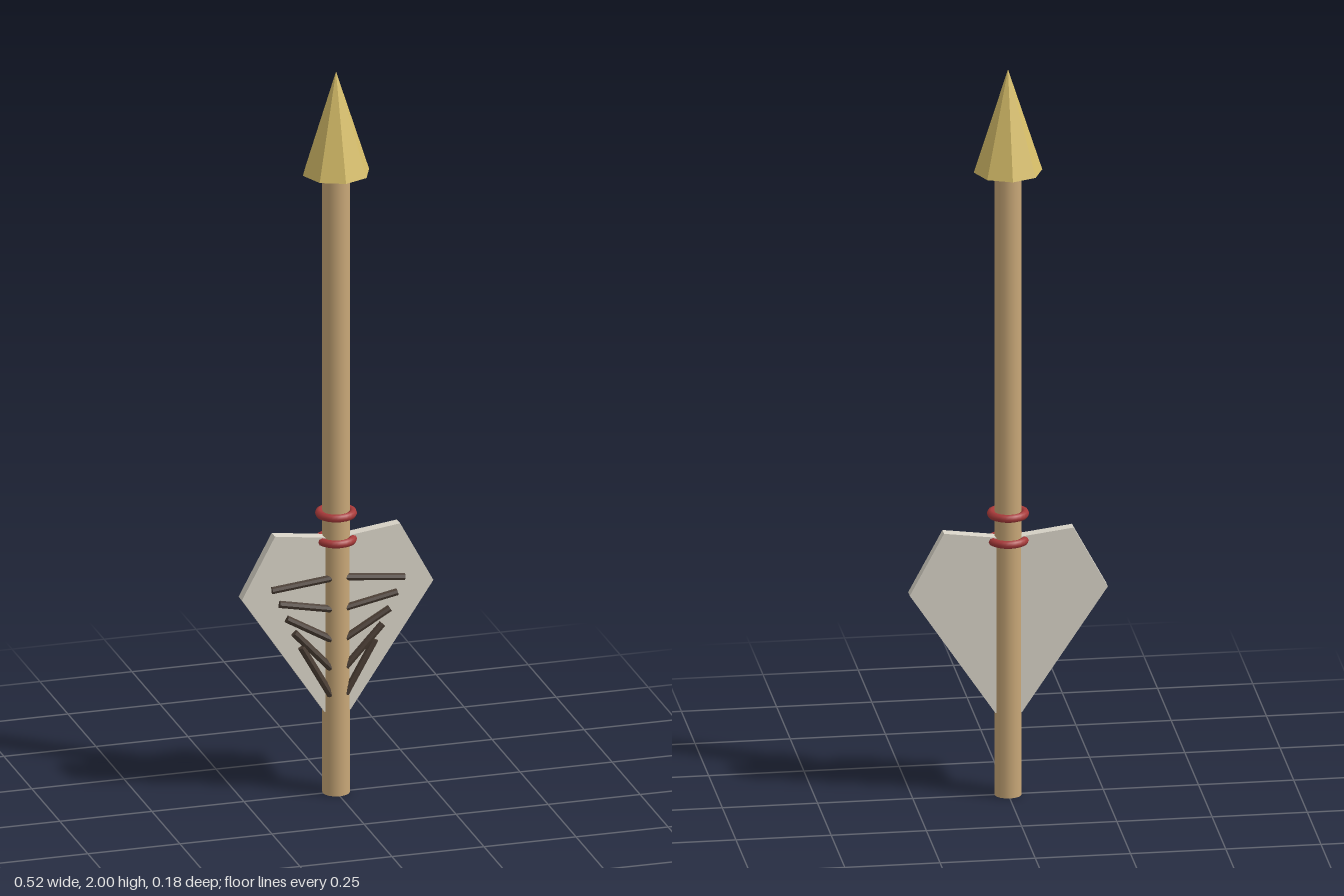
import * as THREE from 'three';

const mat = (color, flatShading = false) => new THREE.MeshStandardMaterial({ color, flatShading });

export function createModel() {
  const model = new THREE.Group();
  model.name = 'arrow';
  const add = (name, geometry, material) => {
    const mesh = new THREE.Mesh(geometry, material);
    mesh.name = name;
    model.add(mesh);
    return mesh;
  };

  // Shaft and faceted head
  add('shaft', new THREE.CylinderGeometry(0.036, 0.036, 1.73, 16), mat(0xc9a878)).position.y = 0.865;
  add('arrowHead', new THREE.ConeGeometry(0.09, 0.28, 8), mat(0xd8bf6a, true)).position.y = 1.86;

  // Binding rings above the fletching
  const red = mat(0xa83a3a);
  for (const y of [0.703, 0.775]) {
    const ring = add('bindingRing', new THREE.TorusGeometry(0.044, 0.011, 8, 24), red);
    ring.rotation.x = Math.PI / 2;
    ring.position.y = y;
  }

  // Mirrored vanes with raised barbs on the front: [outer x, outer y, inner y]
  const vaneMat = mat(0xd9d4c8, true);
  const barbMat = mat(0x4a3d33, true);
  const barbs = [
    [0.18, 0.585, 0.602], [0.16, 0.545, 0.517], [0.14, 0.502, 0.433],
    [0.12, 0.461, 0.353], [0.10, 0.42, 0.278],
  ];
  const up = new THREE.Vector3(0, 1, 0);
  for (const s of [1, -1]) {
    const side = s > 0 ? 'left' : 'right';
    const outline = [[0, 0.23], [0.035, 0.23], [0.26, 0.565], [0.17, 0.732], [0, 0.71]];
    const shape = new THREE.Shape(outline.map(([x, y]) => new THREE.Vector2(s * x, y)));
    const vane = new THREE.ExtrudeGeometry(shape, { depth: 0.03, bevelEnabled: false });
    add(side + 'Vane', vane.translate(0, 0, -0.015), vaneMat);

    for (const [x, y, innerY] of barbs) {
      const outer = new THREE.Vector3(s * x, y, 0.02);
      const inner = new THREE.Vector3(s * 0.02, innerY, 0.02);
      const dir = outer.clone().sub(inner);
      const barb = add(side + 'Barb', new THREE.CylinderGeometry(0.01, 0.01, dir.length(), 8), barbMat);
      barb.position.copy(inner).lerp(outer, 0.5);
      barb.quaternion.setFromUnitVectors(up, dir.normalize());
    }
  }
  return model;
}
